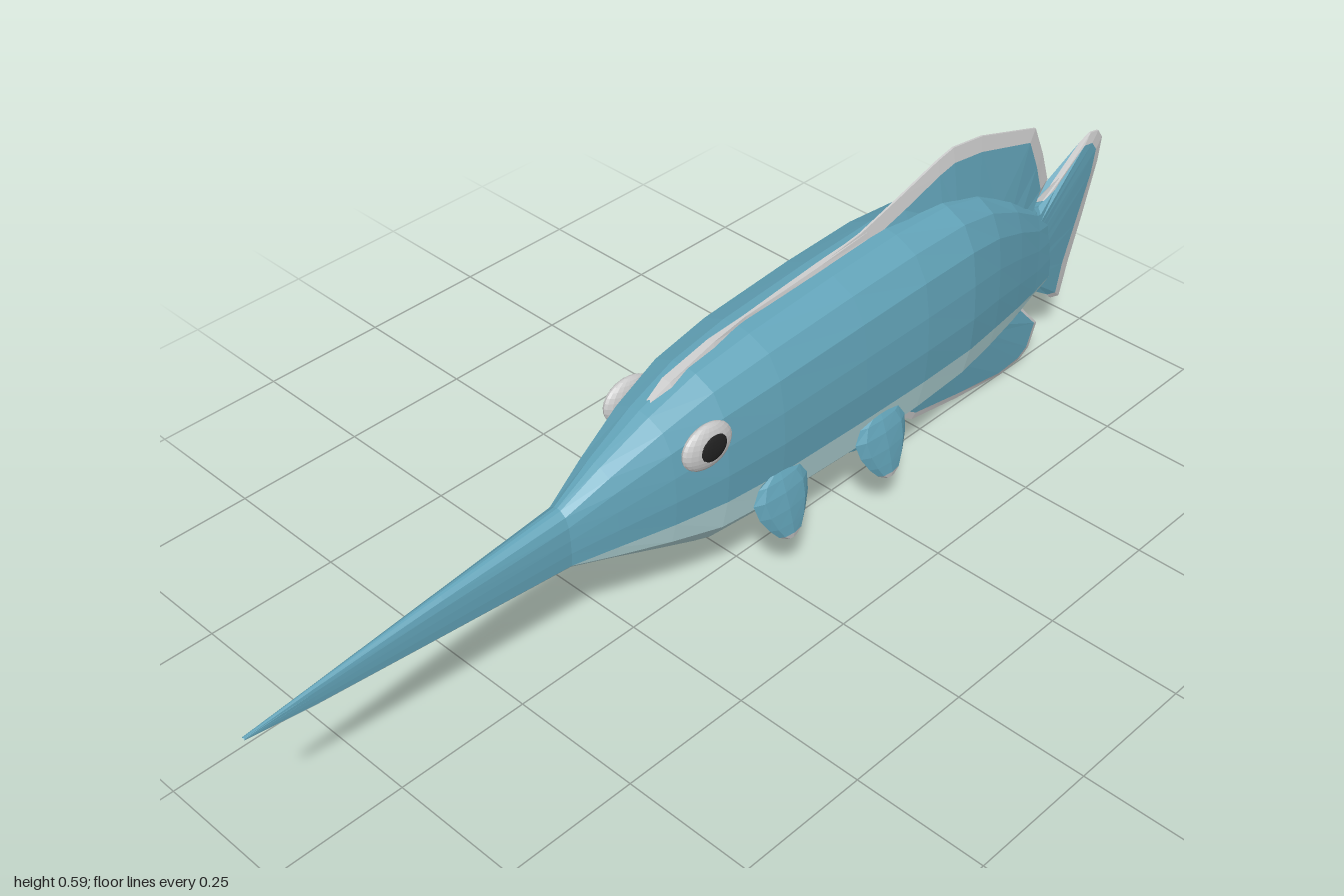
import * as THREE from 'three';

const mat = (color) => new THREE.MeshStandardMaterial({ color, flatShading: true, side: THREE.DoubleSide });
const blue = mat(0x62a3b8), pale = mat(0xb4d8da), white = mat(0xdedede), dark = mat(0x222222);

// Skin a grid of points: rows of equal length, each point [x, y, z]
function skin(name, rows, material) {
  const n = rows[0].length, index = [];
  for (let r = 0; r < rows.length - 1; r++) {
    for (let c = 0; c < n - 1; c++) {
      const a = r * n + c, d = a + n;
      index.push(a, d, a + 1, a + 1, d, d + 1);
    }
  }
  const g = new THREE.BufferGeometry();
  g.setAttribute('position', new THREE.Float32BufferAttribute(rows.flat(2), 3));
  g.setIndex(index);
  g.computeVertexNormals();
  const m = new THREE.Mesh(g, material);
  m.name = name;
  return m;
}

// Tapered median fin with a pale rim; each pair is [rootZ, rootY, tipZ, tipY]
function medianFin(name, pairs, thick, rim = 0.028) {
  const group = new THREE.Group();
  group.name = name;
  const web = [[], []], edge = [];
  for (const [rz, ry, tz, ty] of pairs) {
    const k = Math.max(0.3, 1 - rim / (Math.hypot(tz - rz, ty - ry) + 1e-6));
    const iz = rz + (tz - rz) * k, iy = ry + (ty - ry) * k;
    const t = thick * 0.35, e = 0.002;
    web[0].push([[thick, ry, rz], [t, iy, iz]]);
    web[1].push([[-t, iy, iz], [-thick, ry, rz]]);
    edge.push([[t, iy, iz], [e, ty, tz], [-e, ty, tz], [-t, iy, iz]]);
  }
  group.add(skin('finWebLeft', web[0], blue), skin('finWebRight', web[1], blue), skin('finRim', edge, white));
  return group;
}

export function createModel() {
  const model = new THREE.Group();
  model.name = 'fish';

  // Body stations: z, top, colour line, bottom, half width
  const stations = [
    [1.0, 0.302, 0.299, 0.298, 0.003],
    [0.88, 0.315, 0.284, 0.28, 0.006],
    [0.64, 0.337, 0.268, 0.262, 0.016],
    [0.4, 0.357, 0.255, 0.245, 0.028],
    [0.32, 0.4, 0.257, 0.208, 0.052],
    [0.22, 0.447, 0.257, 0.165, 0.08],
    [0.12, 0.482, 0.255, 0.122, 0.1],
    [0, 0.5, 0.253, 0.114, 0.111],
    [-0.2, 0.514, 0.25, 0.106, 0.115],
    [-0.36, 0.52, 0.247, 0.108, 0.115],
    [-0.5, 0.512, 0.238, 0.115, 0.105],
    [-0.6, 0.482, 0.224, 0.125, 0.083],
    [-0.7, 0.428, 0.204, 0.14, 0.056],
    [-0.79, 0.368, 0.187, 0.163, 0.03],
    [-0.86, 0.35, 0.182, 0.172, 0.012],
  ];
  // Cross-section fractions from the colour line to the ridge and to the keel
  const upper = [[0.96, 0], [1, 0.25], [0.97, 0.5], [0.88, 0.74], [0.65, 0.91], [0.26, 0.985], [0, 1]];
  const lower = [[0.96, 0], [0.84, 0.45], [0.54, 0.74], [0.18, 0.97], [0, 1]];
  const section = (half, z, from, to, w, s) => {
    const side = half.map(([fx, fy]) => [s * fx * w, from + (to - from) * fy, z]);
    return [...side, ...side.slice(0, -1).reverse().map(([x, y, zz]) => [-x, y, zz])];
  };
  model.add(
    skin('upperBody', stations.map(([z, t, l, , w]) => section(upper, z, l, t, w, 1)), blue),
    skin('belly', stations.map(([z, , l, b, w]) => section(lower, z, l, b, w, -1)), pale),
  );

  // Low pale crest running along the back
  const crest = [[0.23, 0.438, 0.002], [0.16, 0.474, 0.015], [0.06, 0.498, 0.011], [-0.02, 0.507, 0.004],
    [-0.1, 0.513, 0.007], [-0.2, 0.521, 0.009], [-0.32, 0.53, 0.006]];
  model.add(skin('crest', crest.map(([z, y, w]) =>
    [[w, y - 0.012, z], [w * 0.6, y, z], [-w * 0.6, y, z], [-w, y - 0.012, z]]), white));

  // Median fins and tail
  model.add(medianFin('dorsalFin', [
    [-0.2, 0.49, -0.2, 0.52], [-0.32, 0.49, -0.3, 0.533], [-0.42, 0.49, -0.4, 0.56],
    [-0.5, 0.48, -0.5, 0.589], [-0.54, 0.47, -0.54, 0.597], [-0.6, 0.45, -0.62, 0.586],
    [-0.66, 0.42, -0.78, 0.535], [-0.7, 0.39, -0.81, 0.47], [-0.73, 0.37, -0.833, 0.405],
    [-0.76, 0.35, -0.8, 0.365]], 0.021));
  model.add(medianFin('analFin', [
    [-0.72, 0.18, -0.77, 0.165], [-0.7, 0.17, -0.8, 0.125], [-0.68, 0.16, -0.845, 0.075],
    [-0.66, 0.15, -0.825, 0.025], [-0.64, 0.145, -0.8, 0.01], [-0.61, 0.14, -0.74, 0.004],
    [-0.56, 0.135, -0.6, 0.022], [-0.5, 0.13, -0.47, 0.045], [-0.45, 0.13, -0.41, 0.085],
    [-0.4, 0.13, -0.37, 0.115]], 0.019, 0.016));
  model.add(medianFin('tailFin', [
    [-0.78, 0.36, -0.83, 0.357], [-0.79, 0.345, -0.88, 0.387], [-0.8, 0.335, -0.96, 0.45],
    [-0.8, 0.32, -0.985, 0.445], [-0.8, 0.3, -1, 0.425], [-0.8, 0.275, -0.993, 0.375],
    [-0.8, 0.25, -0.96, 0.265], [-0.8, 0.23, -0.93, 0.175], [-0.8, 0.21, -0.912, 0.105],
    [-0.8, 0.195, -0.885, 0.113], [-0.79, 0.185, -0.85, 0.17]], 0.02));
  model.add(medianFin('bellyKeel', [
    [-0.25, 0.125, -0.29, 0.094], [-0.24, 0.122, -0.325, 0.08], [-0.23, 0.12, -0.335, 0.063],
    [-0.21, 0.12, -0.315, 0.063], [-0.18, 0.12, -0.24, 0.087], [-0.08, 0.125, -0.1, 0.1],
    [0.1, 0.13, 0.11, 0.112]], 0.019, 0.008));

  // Paired side fins: y, centre x, half thickness, half length, centre z
  const finRings = [[0.256, 0.104, 0.003, 0.02, 0], [0.245, 0.106, 0.008, 0.05, 0.002],
    [0.222, 0.11, 0.013, 0.065, 0.003], [0.19, 0.116, 0.014, 0.059, 0], [0.16, 0.122, 0.012, 0.044, -0.003],
    [0.138, 0.127, 0.009, 0.028, -0.005], [0.127, 0.13, 0.004, 0.012, -0.006], [0.125, 0.13, 0, 0, -0.006]];
  const ring = ([y, x, t, l, z]) => Array.from({ length: 9 }, (_, i) => {
    const a = (i % 8) * Math.PI / 4;
    return [x + t * Math.cos(a), y, z - l * Math.sin(a)];
  });
  const rings = finRings.map(ring);

  for (const s of [1, -1]) {
    const side = new THREE.Group();
    side.name = s > 0 ? 'leftSide' : 'rightSide';
    side.scale.x = s;
    [[0.006, 0.002], [-0.248, -0.016]].forEach(([z, y], i) => {
      const fin = new THREE.Group();
      fin.name = i ? 'rearSideFin' : 'frontSideFin';
      fin.add(skin('finBlade', rings.slice(0, 6), blue), skin('finTip', rings.slice(5), white));
      fin.position.set(0, y, z);
      side.add(fin);
    });
    // Flattened eye with a dark pupil
    const ball = (name, r, x, y, z, m) => {
      const e = new THREE.Mesh(new THREE.SphereGeometry(1, 20, 14), m);
      e.name = name;
      e.scale.set(...r);
      e.position.set(x, y, z);
      e.rotation.x = -0.15;
      side.add(e);
    };
    ball('eye', [0.017, 0.043, 0.055], 0.089, 0.391, 0.16, white);
    ball('pupil', [0.008, 0.026, 0.032], 0.1, 0.392, 0.158, dark);
    model.add(side);
  }
  return model;
}
